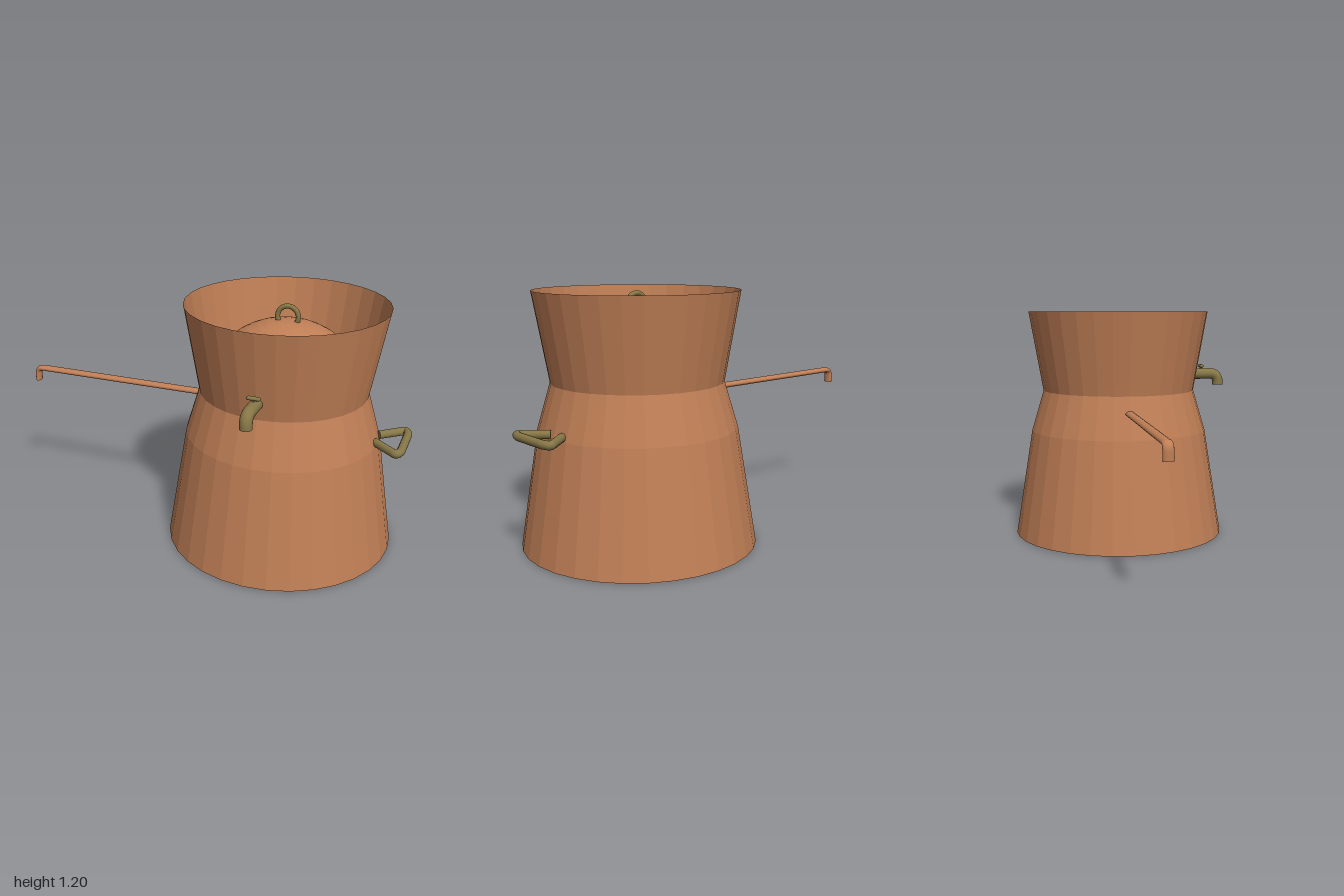
import * as THREE from 'three';

const CX = 0.39, CZ = -0.01; // axis of the pot
const V = (x, y, z) => new THREE.Vector3(x, y, z);

const copper = new THREE.MeshStandardMaterial({ color: 0xc07f56, flatShading: true, side: THREE.DoubleSide });
const copperSmooth = new THREE.MeshStandardMaterial({ color: 0xc07f56 });
const brass = new THREE.MeshStandardMaterial({ color: 0x877747 });

function add(parent, name, geometry, material) {
  const mesh = new THREE.Mesh(geometry, material);
  mesh.name = name;
  parent.add(mesh);
  return mesh;
}

// Polyline path whose corners are rounded off over a given distance
function roundedPath(points, bend) {
  const path = new THREE.CurvePath();
  let last = points[0];
  for (let i = 1; i < points.length - 1; i++) {
    const p = points[i];
    const a = p.clone().add(points[i - 1].clone().sub(p).setLength(bend));
    const b = p.clone().add(points[i + 1].clone().sub(p).setLength(bend));
    path.add(new THREE.LineCurve3(last, a));
    path.add(new THREE.QuadraticBezierCurve3(a, p, b));
    last = b;
  }
  path.add(new THREE.LineCurve3(last, points[points.length - 1]));
  return path;
}

// Tube along a path, with a flat cap at each end
function rod(parent, name, path, radius, material, segments = 64) {
  const group = new THREE.Group();
  group.name = name;
  add(group, name + 'Tube', new THREE.TubeGeometry(path, segments, radius, 16), material);
  [[0, -1], [1, 1]].forEach(([t, dir]) => {
    const cap = add(group, name + 'End', new THREE.CircleGeometry(radius, 16), material);
    cap.position.copy(path.getPointAt(t));
    cap.quaternion.setFromUnitVectors(V(0, 0, 1), path.getTangentAt(t).multiplyScalar(dir));
  });
  parent.add(group);
  return group;
}

export function createModel() {
  const model = new THREE.Group();
  model.name = 'still';

  // Waisted body, open at the top and closed at the base
  const profile = [[0, 0], [0.56, 0], [0.47, 0.56], [0.406, 0.775], [0.48, 1.196]]
    .map(([r, y]) => new THREE.Vector2(r, y));
  add(model, 'body', new THREE.LatheGeometry(profile, 32), copper).position.set(CX, 0, CZ);

  // Domed lid inside the neck
  const R = 0.41, top = 1.113, edge = Math.acos((0.775 - (top - R)) / R);
  add(model, 'domeLid', new THREE.SphereGeometry(R, 32, 12, 0, Math.PI * 2, 0, edge), copper)
    .position.set(CX, top - R, CZ);

  // Horseshoe handle on the lid
  const arc = Math.PI * 1.4;
  const loop = add(model, 'lidHandle', new THREE.TorusGeometry(0.05, 0.012, 12, 32, arc), brass);
  loop.position.set(CX + 0.005, 1.13, -0.015);
  loop.rotation.z = (Math.PI - arc) / 2;

  // Long outlet pipe, slightly flattened, with a downturned tip
  const outlet = rod(model, 'outletPipe', roundedPath(
    [V(0.0, 0.69, 0), V(-0.986, 0.69, 0), V(-0.986, 0.62, 0)], 0.03), 0.014, copperSmooth, 120);
  outlet.scale.z = 1.7;
  outlet.position.z = -0.012;

  // Carrying handle on the side
  rod(model, 'sideHandle', roundedPath([
    V(0.85, 0.58, -0.068), V(0.965, 0.58, -0.165), V(0.98, 0.58, -0.13),
    V(0.98, 0.58, 0.08), V(0.965, 0.58, 0.115), V(0.85, 0.58, 0.018)], 0.018), 0.02, brass, 120);

  // Spout with its elbow and tap
  const tap = new THREE.Group();
  tap.name = 'tap';
  tap.position.x = CX;
  model.add(tap);
  rod(tap, 'spout', roundedPath(
    [V(0, 0.856, 0.38), V(0, 0.856, 0.545), V(0, 0.795, 0.545)], 0.048), 0.029, brass);
  add(tap, 'tapStem', new THREE.CylinderGeometry(0.007, 0.007, 0.03, 12), brass).position.set(0, 0.89, 0.45);
  const key = add(tap, 'tapKey', new THREE.CapsuleGeometry(0.009, 0.046, 4, 12), brass);
  key.rotation.z = Math.PI / 2;
  key.scale.z = 1.3;
  key.position.set(0, 0.898, 0.45);

  return model;
}
